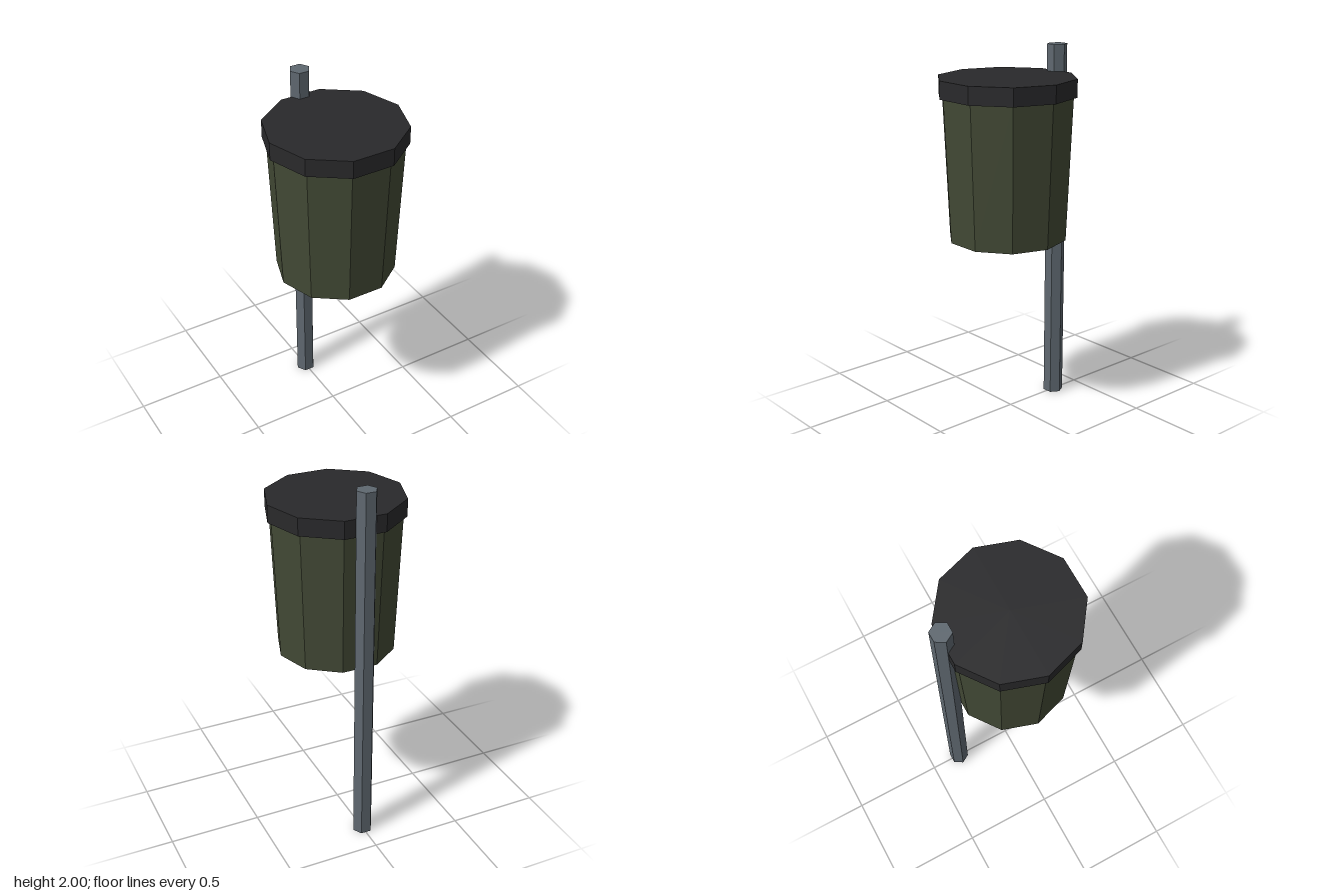
import * as THREE from 'three';

// Faceted upright prism or frustum with corners on the x axis
function prism(name, color, rTop, rBottom, y0, y1, z, sides) {
  const geometry = new THREE.CylinderGeometry(rTop, rBottom, y1 - y0, sides, 1, false, Math.PI / 2);
  const material = new THREE.MeshStandardMaterial({ color, flatShading: true });
  const mesh = new THREE.Mesh(geometry, material);
  mesh.name = name;
  mesh.position.set(0, (y0 + y1) / 2, z);
  return mesh;
}

export function createModel() {
  const group = new THREE.Group();
  group.name = 'poleMountedBin';
  const binZ = 0.025;

  group.add(
    // Tapered ten-sided bin, closed by a slightly wider lid
    prism('binBody', 0x424935, 0.35, 0.318, 1.0, 1.77, binZ, 10),
    prism('binLid', 0x29292b, 0.368, 0.368, 1.762, 1.857, binZ, 10),
    // Six-sided post at the back, cutting into the bin wall
    prism('post', 0x5f6870, 0.055, 0.055, 0, 2, -0.328, 6)
  );
  return group;
}
